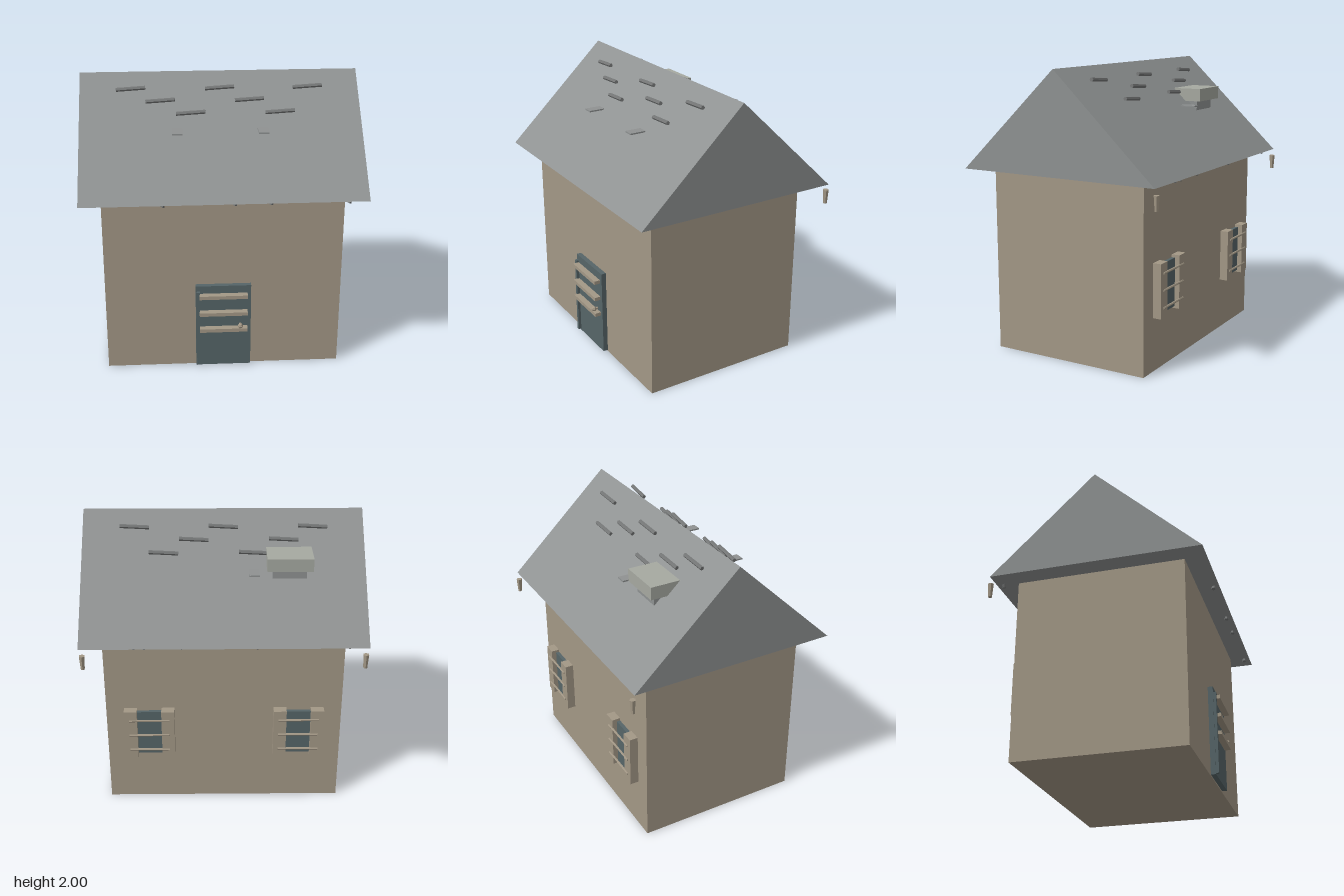
import * as THREE from 'three';

const mat = (name, color) => Object.assign(new THREE.MeshStandardMaterial({ color, flatShading: true }), { name });

export function createModel() {
  const house = new THREE.Group();
  house.name = 'house';
  const wall = mat('wall tan', 0xa39886);
  const slate = mat('roof grey', 0x8f9292);
  const batten = mat('batten grey', 0x767878);
  const teal = mat('door teal', 0x566568);
  const stone = mat('chimney stone', 0xa6a9a1);

  const add = (name, geometry, material, parent = house) => {
    const mesh = new THREE.Mesh(geometry, material);
    mesh.name = name;
    parent.add(mesh);
    return mesh;
  };
  // Box given by its extents along each axis
  const box = (name, [x0, x1], [y0, y1], [z0, z1], material, parent) => {
    const mesh = add(name, new THREE.BoxGeometry(x1 - x0, y1 - y0, z1 - z0), material, parent);
    mesh.position.set((x0 + x1) / 2, (y0 + y1) / 2, (z0 + z1) / 2);
    return mesh;
  };
  // Thin rod centred on a point and lying along a direction
  const rod = (name, centre, dir, length, radius, sides, material, parent) => {
    const mesh = add(name, new THREE.CylinderGeometry(radius, radius, length, sides), material, parent);
    mesh.position.set(...centre);
    mesh.quaternion.setFromUnitVectors(new THREE.Vector3(0, 1, 0), new THREE.Vector3(...dir).normalize());
    return mesh;
  };

  // Walls
  box('walls', [-0.82, 0.82], [0, 1.3], [-0.575, 0.6], wall);

  // Gable roof: triangle extruded along x
  const gable = new THREE.Shape([[-0.75, 1.3], [0.73, 1.3], [-0.01, 2]].map(([u, v]) => new THREE.Vector2(u, v)));
  const roof = new THREE.ExtrudeGeometry(gable, { depth: 1.92, bevelEnabled: false });
  roof.translate(0, 0, -0.96).rotateY(Math.PI / 2);
  add('roof', roof, slate);

  // Staggered battens on both slopes
  const rows = [
    { y: 1.915, z: 0.125, xs: [-0.61, 0, 0.605] },
    { y: 1.848, z: 0.192, xs: [-0.41, 0.2] },
    { y: 1.78, z: 0.262, xs: [-0.205, 0.405] },
  ];
  for (const side of [1, -1])
    for (const { y, z, xs } of rows)
      for (const x of xs)
        rod('roofBatten', [x, y, 0.013 + side * z], [0.2, 0.015, side * 0.01], 0.2, 0.014, 6, batten);

  // Loose flat slates
  for (const [x, z0, z1] of [[-0.3, 0.3, 0.453], [0.28, 0.3, 0.453], [-0.205, -0.43, -0.28]])
    box('looseSlate', [x - 0.035, x + 0.035], [1.68, 1.69], [z0, z1], slate);

  // Chimney
  const chimney = new THREE.Group();
  chimney.name = 'chimney';
  house.add(chimney);
  box('chimneyStack', [-0.56, -0.33], [1.5, 1.71], [-0.37, -0.2], slate, chimney);
  box('chimneyCap', [-0.6, -0.29], [1.71, 1.8], [-0.415, -0.12], stone, chimney);

  // Pegs peeping out under the eaves
  for (const x of [-0.405, 0.07, 0.31, 0.83]) rod('eavePeg', [x, 1.292, 0.71], [0.3, 1, 0], 0.03, 0.014, 6, batten);
  for (const x of [-0.83, -0.22, 0.28, 0.53, 0.6]) rod('eavePeg', [x, 1.292, -0.68], [-0.3, 1, 0], 0.03, 0.014, 6, batten);

  // Tapered spouts at the rear corners
  for (const x of [-0.935, 0.935]) {
    const spout = add('cornerSpout', new THREE.CylinderGeometry(0.021, 0.014, 0.1, 6), wall);
    spout.position.set(x, 1.205, -0.73);
  }

  // Door with hinge strip, slats and knob
  const door = new THREE.Group();
  door.name = 'door';
  house.add(door);
  box('doorSlab', [-0.195, 0.19], [0.01, 0.64], [0.59, 0.635], teal, door);
  box('hingeStrip', [-0.19, -0.167], [0.02, 0.6], [0.63, 0.655], teal, door);
  for (const y of [0.57, 0.438, 0.31])
    box('doorSlat', [-0.17, 0.165], [y - 0.013, y + 0.013], [0.63, 0.68], wall, door);
  rod('knobStem', [0.115, 0.336, 0.65], [0, 0, 1], 0.04, 0.01, 6, wall, door);
  add('knob', new THREE.SphereGeometry(0.019, 6, 4), wall, door).position.set(0.115, 0.336, 0.665);

  // Rear windows: pane, two shutters, three bars
  for (const x of [-0.52, 0.52]) {
    const win = new THREE.Group();
    win.name = 'window';
    win.position.x = x;
    house.add(win);
    box('pane', [-0.09, 0.09], [0.39, 0.73], [-0.6, -0.57], teal, win);
    for (const s of [-1, 1])
      box('shutter', [s * 0.13 - 0.045, s * 0.13 + 0.045], [0.375, 0.75], [-0.635, -0.57], wall, win);
    for (const y of [0.68, 0.562, 0.442])
      rod('windowBar', [0, y, -0.635], [1, 0, 0], 0.28, 0.008, 6, wall, win);
  }
  return house;
}
